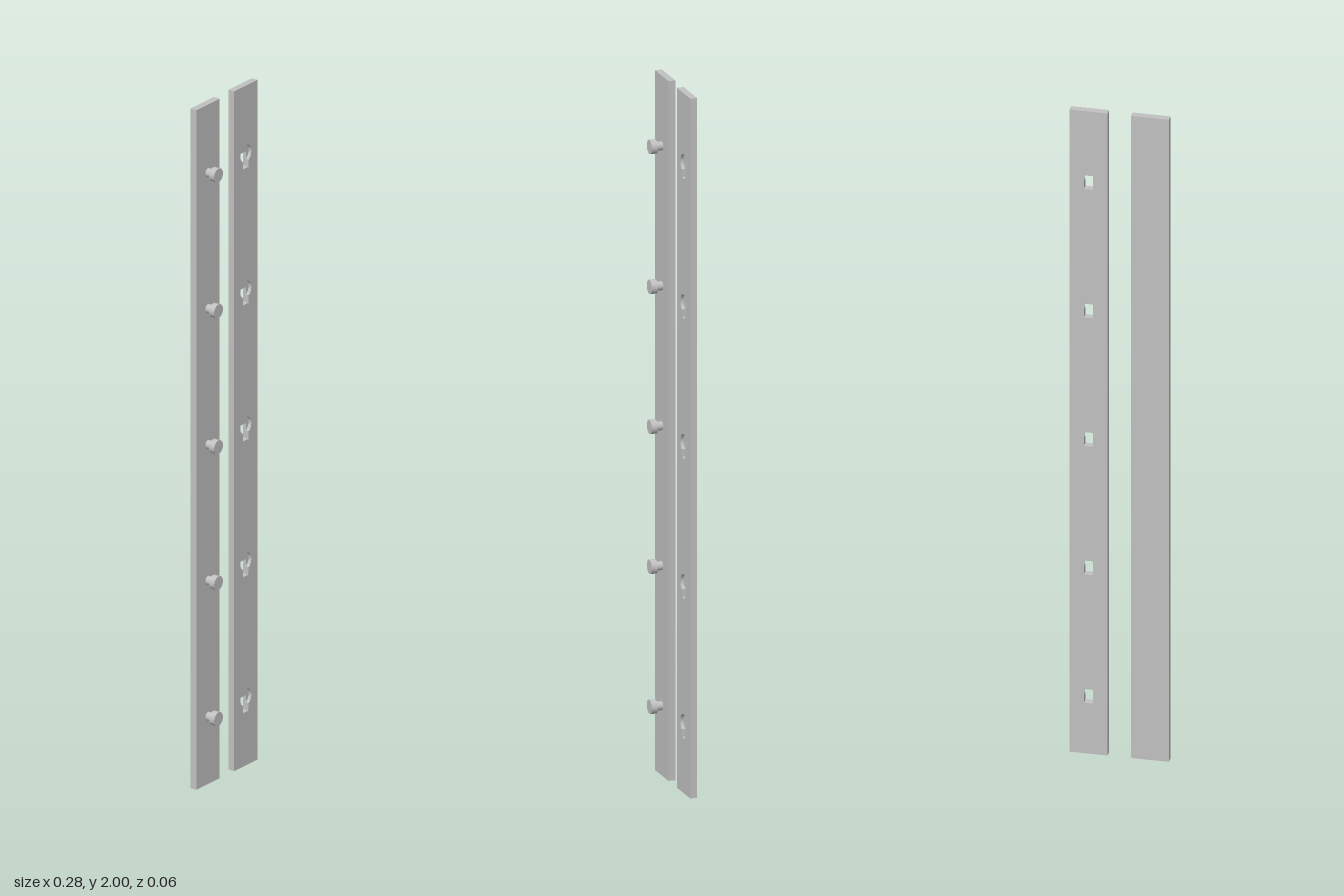
import * as THREE from 'three';

const steel = new THREE.MeshStandardMaterial({ color: 0xc0c0c0 });
steel.name = 'steel grey';

const WIDTH = 0.106, HEIGHT = 2, DEPTH = 0.02, BACK = -0.029, OFFSET = 0.0855;
const LEVELS = [0.2, 0.6, 1.0, 1.4, 1.8];
const RECESS_R = 0.025, SLOT_HALF = 0.013, SLOT_BOTTOM = -0.043;

function add(parent, geometry, name, x, y, z) {
  const mesh = new THREE.Mesh(geometry, steel);
  mesh.name = name;
  mesh.position.set(x, y, z);
  parent.add(mesh);
  return mesh;
}

// Plain rectangular slot
function slotPath(y) {
  return new THREE.Path([
    new THREE.Vector2(-SLOT_HALF, y),
    new THREE.Vector2(-SLOT_HALF, y + SLOT_BOTTOM),
    new THREE.Vector2(SLOT_HALF, y + SLOT_BOTTOM),
    new THREE.Vector2(SLOT_HALF, y),
  ]);
}

// Round opening that runs into the slot below it
function keyholePath(y) {
  const a = Math.acos(SLOT_HALF / RECESS_R);
  const path = new THREE.Path();
  path.moveTo(-SLOT_HALF, y + SLOT_BOTTOM);
  path.lineTo(SLOT_HALF, y + SLOT_BOTTOM);
  path.absarc(0, y, RECESS_R, -a, Math.PI + a, false);
  path.closePath();
  return path;
}

// Strip layer with one hole at every level
function stripLayer(makeHole, depth) {
  const shape = new THREE.Shape([
    new THREE.Vector2(-WIDTH / 2, 0),
    new THREE.Vector2(WIDTH / 2, 0),
    new THREE.Vector2(WIDTH / 2, HEIGHT),
    new THREE.Vector2(-WIDTH / 2, HEIGHT),
  ]);
  shape.holes = LEVELS.map(makeHole);
  return new THREE.ExtrudeGeometry(shape, { depth, bevelEnabled: false, curveSegments: 28 });
}

export function createModel() {
  const model = new THREE.Group();
  model.name = 'keyholeStripPair';

  // Strip carrying the headed pins
  const pinStrip = new THREE.Group();
  pinStrip.name = 'pinStrip';
  add(pinStrip, new THREE.BoxGeometry(WIDTH, HEIGHT, DEPTH), 'pinPlate', 0, HEIGHT / 2, BACK + DEPTH / 2);
  const shank = new THREE.CylinderGeometry(0.0125, 0.0125, 0.018, 32).rotateX(Math.PI / 2);
  const head = new THREE.CylinderGeometry(0.02, 0.02, 0.018, 32).rotateX(Math.PI / 2);
  for (const y of LEVELS) {
    add(pinStrip, shank, 'pinShank', 0, y, 0);
    add(pinStrip, head, 'pinHead', 0, y, 0.018);
  }
  pinStrip.position.x = -OFFSET;

  // Strip with blind round recesses and through slots
  const slotStrip = new THREE.Group();
  slotStrip.name = 'slotStrip';
  add(slotStrip, stripLayer(slotPath, DEPTH / 2), 'slotPlateBack', 0, 0, BACK);
  add(slotStrip, stripLayer(keyholePath, DEPTH / 2), 'slotPlateFront', 0, 0, BACK + DEPTH / 2);
  slotStrip.position.x = OFFSET;

  model.add(pinStrip, slotStrip);
  return model;
}
